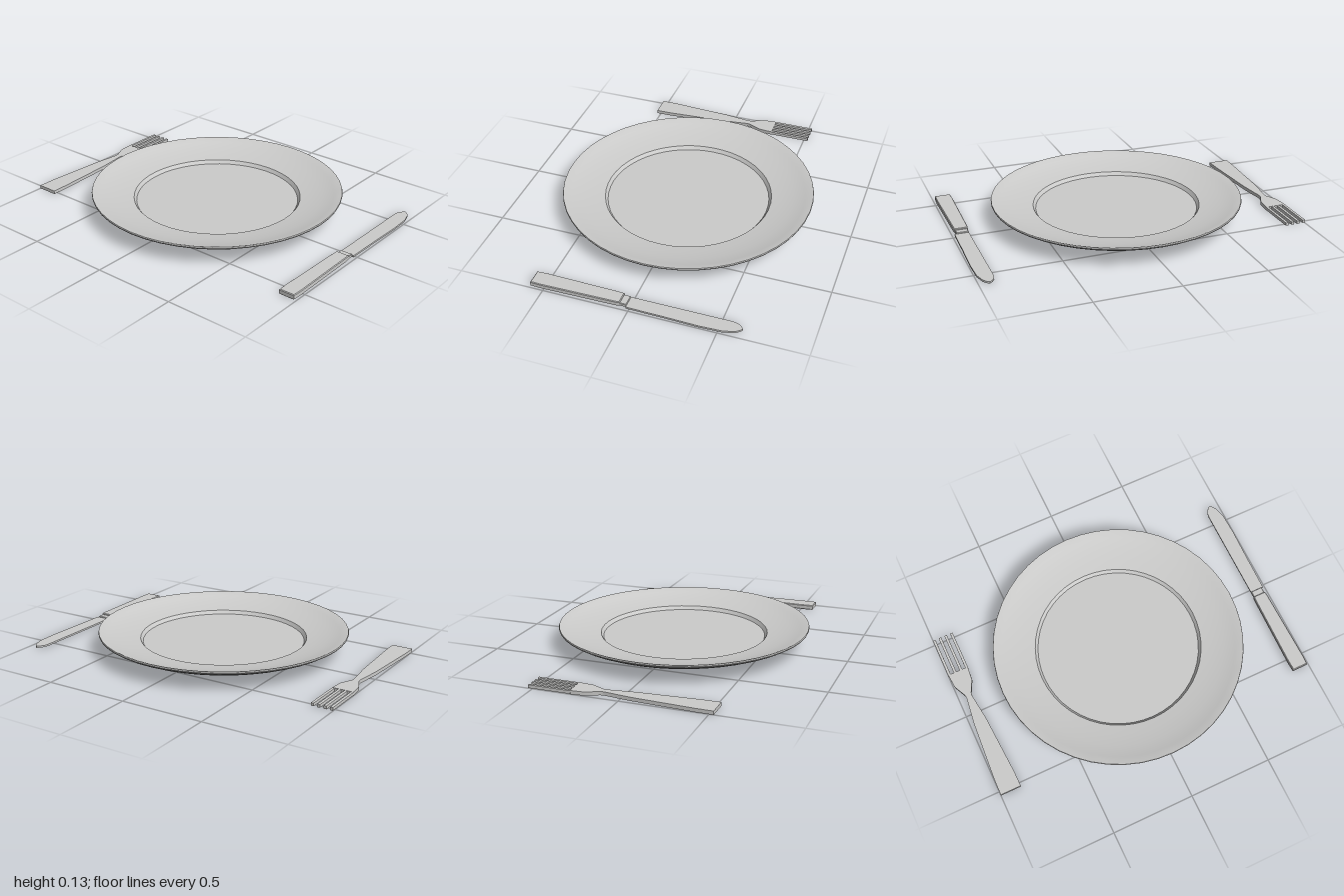
import * as THREE from 'three';
import { toCreasedNormals } from 'three/addons/utils/BufferGeometryUtils.js';

const china = new THREE.MeshStandardMaterial({ color: 0xcccccb });
china.name = 'light grey';

// Flat piece from an outline of [x, z] points, lying between y0 and y0 + height
function slab(name, points, y0, height, bevel = 0) {
  const shape = new THREE.Shape(points.map(([x, z]) => new THREE.Vector2(x, -z)));
  const geometry = new THREE.ExtrudeGeometry(shape, {
    depth: height - 2 * bevel,
    bevelEnabled: bevel > 0,
    bevelThickness: bevel,
    bevelSize: bevel,
    bevelOffset: -bevel,
    bevelSegments: 1,
  });
  geometry.rotateX(-Math.PI / 2).translate(0, y0 + bevel, 0);
  const mesh = new THREE.Mesh(toCreasedNormals(geometry, 0.4), china);
  mesh.name = name;
  return mesh;
}

// Mirrors [halfWidth, z] stations into a closed outline around x = cx
function symmetric(cx, stations) {
  const right = stations.map(([w, z]) => [cx + w, z]);
  const left = stations.map(([w, z]) => [cx - w, z]).reverse();
  return [...right, ...left];
}

function createPlate() {
  // Underside centre, foot ring, outer wall, rim, then the sunken well
  const profile = [
    [0, 0.018], [0.365, 0.018], [0.378, 0], [0.4, 0], [0.417, 0.027],
    [0.55, 0.053], [0.68, 0.08], [0.725, 0.1], [0.747, 0.113], [0.75, 0.12],
    [0.748, 0.127], [0.74, 0.126], [0.7, 0.111], [0.63, 0.094], [0.56, 0.081],
    [0.5, 0.073], [0.485, 0.052], [0, 0.052],
  ].map(([r, y]) => new THREE.Vector2(r, y));
  const geometry = toCreasedNormals(new THREE.LatheGeometry(profile, 48), 0.5);
  const plate = new THREE.Mesh(geometry, china);
  plate.name = 'plate';
  return plate;
}

function createFork() {
  const fork = new THREE.Group();
  fork.name = 'fork';
  const cx = -0.936;
  fork.add(slab('forkBody', symmetric(cx, [
    [0.063, 0.525], [0.062, 0.43], [0.039, 0.06], [0.018, -0.1],
    [0.02, -0.12], [0.056, -0.195], [0.063, -0.28],
  ]), 0, 0.021));

  // Four tines
  for (let i = 0; i < 4; i++) {
    const tine = new THREE.Mesh(new THREE.BoxGeometry(0.016, 0.018, 0.25), china);
    tine.name = 'forkTine';
    tine.position.set(cx + (i - 1.5) * 0.0373, 0.011, -0.4);
    fork.add(tine);
  }
  return fork;
}

function createKnife() {
  const knife = new THREE.Group();
  knife.name = 'knife';
  // Blade with a rounded tip
  knife.add(slab('knifeBlade', [
    [0.904, 0.018], [0.987, 0.018], [0.99, -0.2], [0.995, -0.4], [0.99, -0.53],
    [0.972, -0.592], [0.955, -0.615], [0.94, -0.625], [0.924, -0.612],
    [0.909, -0.588], [0.904, -0.56],
  ], 0.003, 0.011));
  knife.add(slab('knifeCollar', symmetric(0.94, [[0.036, 0.06], [0.036, 0.017]]), 0.001, 0.02, 0.003));
  knife.add(slab('knifeHandle', symmetric(0.94, [
    [0.047, 0.58], [0.05, 0.52], [0.042, 0.08], [0.039, 0.055],
  ]), 0, 0.03, 0.004));
  return knife;
}

export function createModel() {
  const model = new THREE.Group();
  model.name = 'placeSetting';
  model.add(createPlate(), createFork(), createKnife());
  return model;
}
